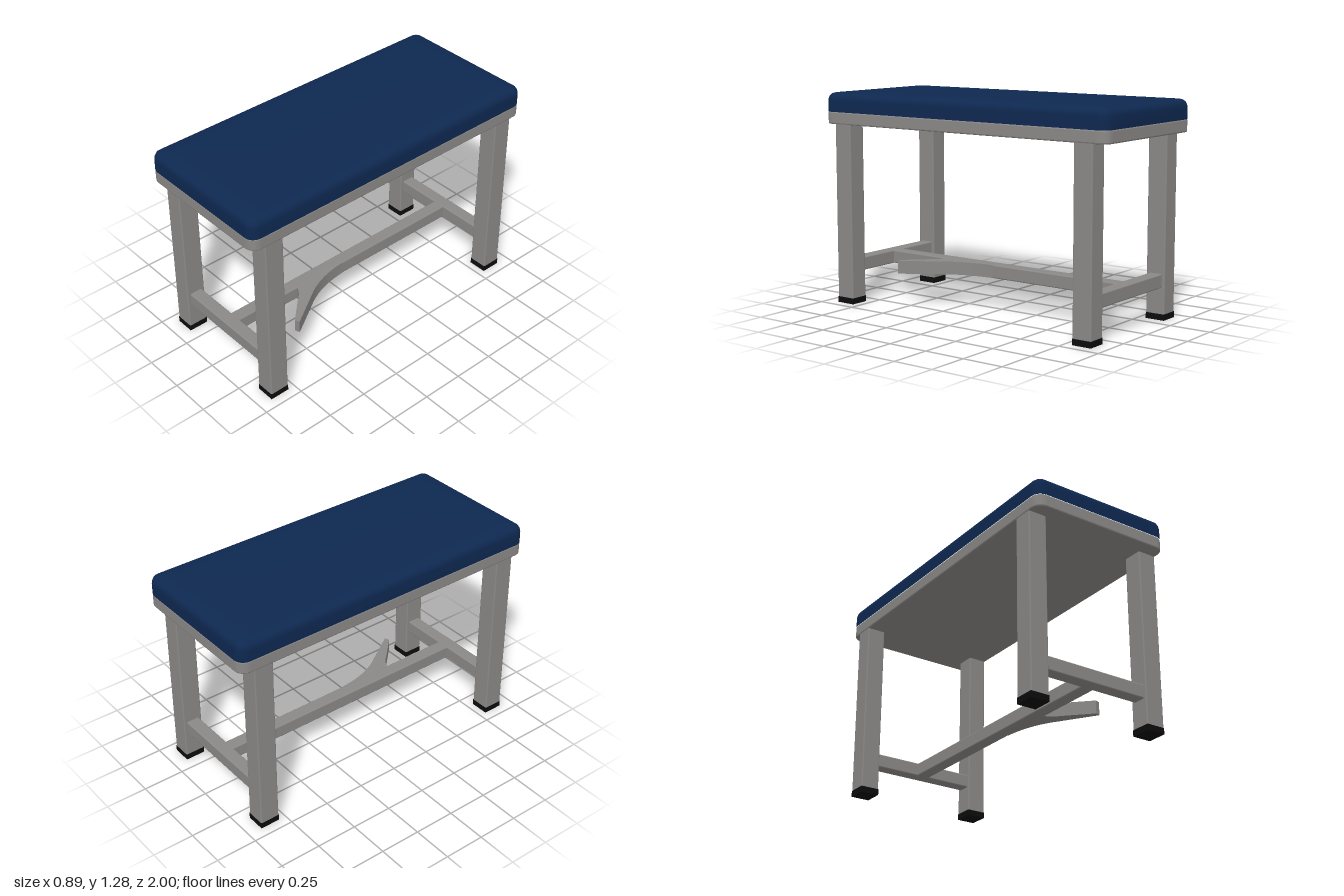
import * as THREE from 'three';
import { RoundedBoxGeometry } from 'three/addons/geometries/RoundedBoxGeometry.js';

const paint = (name, color) => {
  const m = new THREE.MeshStandardMaterial({ color });
  m.name = name;
  return m;
};

// Outline of a rounded rectangle in x and z, as a list of points
function roundedOutline(halfX, halfZ, radius, steps = 6) {
  const points = [];
  const corners = [[1, 1], [-1, 1], [-1, -1], [1, -1]];
  corners.forEach(([sx, sz], c) => {
    for (let i = 0; i <= steps; i++) {
      const a = (c + i / steps) * Math.PI / 2;
      points.push(new THREE.Vector2(
        sx * (halfX - radius) + radius * Math.cos(a),
        sz * (halfZ - radius) + radius * Math.sin(a)));
    }
  });
  return points;
}

// Extrudes a floor-plan shape (x, z) between two heights
function plate(shape, bottom, top, bevel = 0) {
  const g = new THREE.ExtrudeGeometry(shape, {
    depth: top - bottom - 2 * bevel, bevelEnabled: bevel > 0, bevelSize: bevel,
    bevelThickness: bevel, bevelOffset: -bevel, bevelSegments: 2, curveSegments: 10,
  });
  g.rotateX(Math.PI / 2);
  g.translate(0, top - bevel, 0);
  return g;
}

// Cushion skin: stacked rounded outlines that shrink towards a low crown
function cushionGeometry() {
  const profile = [
    [0, 1.158], [0, 1.225], [0.004, 1.243], [0.012, 1.257], [0.025, 1.267],
    [0.045, 1.272], [0.12, 1.278], [0.25, 1.283], [0.44, 1.285],
  ];
  const positions = [], index = [];
  let count = 0;
  profile.forEach(([inset, y]) => {
    const ring = roundedOutline(0.443 - inset, 1 - inset, Math.max(0.06 - inset, 0.002));
    count = ring.length;
    ring.forEach((p) => positions.push(p.x, y, p.y));
  });
  for (let r = 0; r < profile.length - 1; r++) {
    for (let j = 0; j < count; j++) {
      const a = r * count + j, b = r * count + (j + 1) % count;
      index.push(a, a + count, b, b, a + count, b + count);
    }
  }
  const last = (profile.length - 1) * count;
  for (let j = 1; j < count - 1; j++) index.push(last, last + j + 1, last + j);
  const g = new THREE.BufferGeometry();
  g.setAttribute('position', new THREE.Float32BufferAttribute(positions, 3));
  g.setIndex(index);
  g.computeVertexNormals();
  return g;
}

export function createModel() {
  const group = new THREE.Group();
  group.name = 'bench';
  const navy = paint('navy upholstery', 0x0e2850);
  const grey = paint('grey frame', 0x8b8987);
  const black = paint('black rubber', 0x0c0c0c);

  const add = (name, geometry, material, x = 0, y = 0, z = 0) => {
    const mesh = new THREE.Mesh(geometry, material);
    mesh.name = name;
    mesh.position.set(x, y, z);
    group.add(mesh);
  };
  const bar = (w, h, d) => new RoundedBoxGeometry(w, h, d, 2, 0.008);

  // Seat
  add('cushion', cushionGeometry(), navy);
  add('seatFrame', plate(new THREE.Shape(roundedOutline(0.443, 1, 0.06)), 1.085, 1.16, 0.008), grey);

  // Legs with rubber feet
  for (const [sx, sideName] of [[1, 'Left'], [-1, 'Right']]) {
    for (const [sz, endName] of [[1, 'front'], [-1, 'back']]) {
      add(`${endName}${sideName}Leg`, bar(0.115, 1.08, 0.12), grey, sx * 0.3825, 0.57, sz * 0.855);
      add(`${endName}${sideName}Foot`, new THREE.BoxGeometry(0.115, 0.036, 0.12), black,
        sx * 0.3825, 0.018, sz * 0.855);
    }
  }

  // Low crossbars and the long stretcher joining them
  for (const [sz, endName] of [[1, 'front'], [-1, 'back']]) {
    add(`${endName}Crossbar`, bar(0.67, 0.082, 0.08), grey, 0, 0.23, sz * 0.855);
  }
  add('stretcher', bar(0.08, 0.081, 1.7), grey, 0, 0.23, 0);

  // Tapered spur curving out of the stretcher
  const spur = new THREE.Shape();
  spur.moveTo(0, 0.02);
  spur.lineTo(0.04, 0.04);
  spur.quadraticCurveTo(0.05, 0.21, 0.125, 0.335);
  spur.lineTo(0.28, 0.572);
  spur.lineTo(0.25, 0.582);
  spur.lineTo(0.13, 0.46);
  spur.quadraticCurveTo(0.08, 0.40, 0.04, 0.39);
  spur.lineTo(0, 0.39);
  spur.closePath();
  add('stretcherSpur', plate(spur, 0.191, 0.269), grey);

  return group;
}
